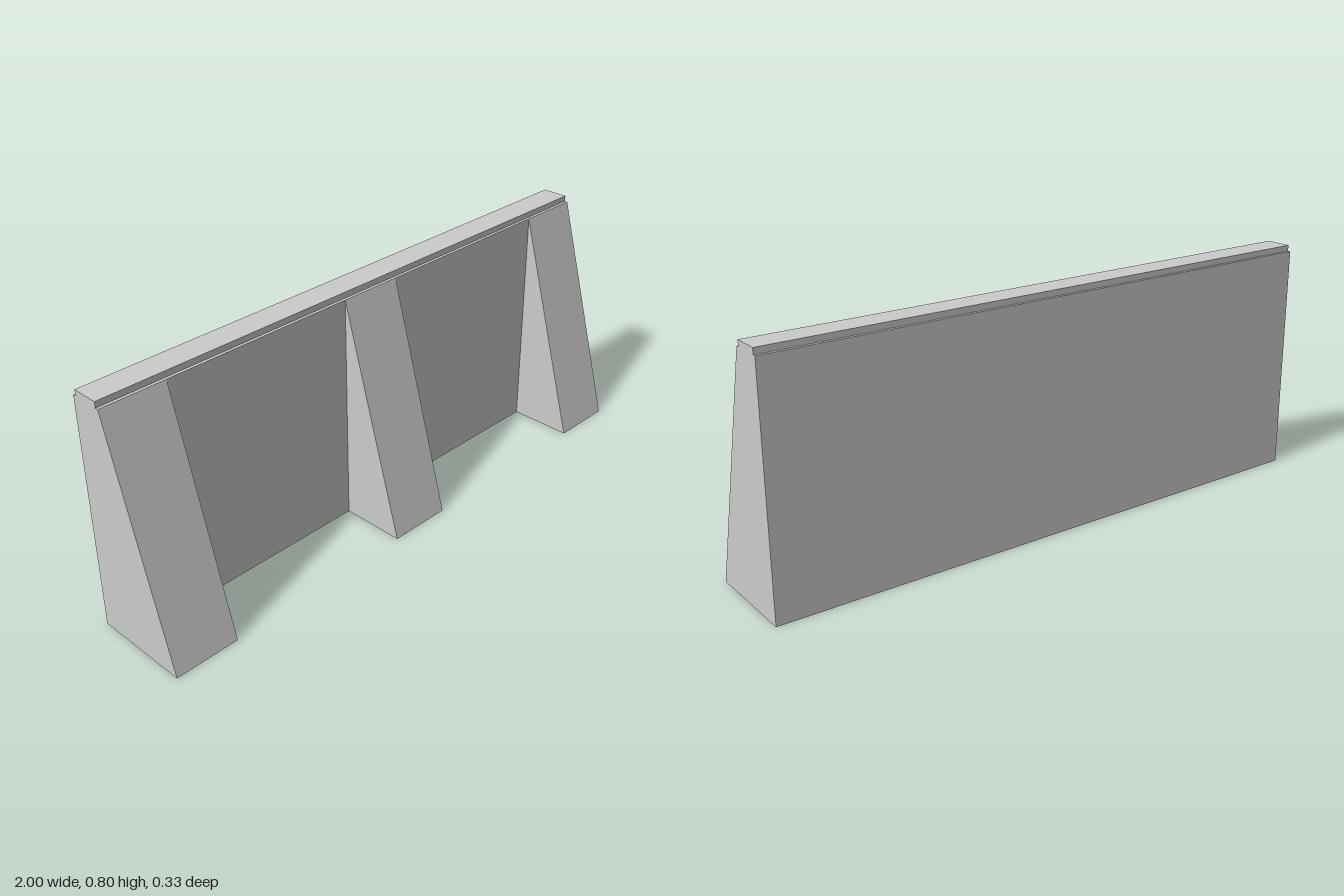
import * as THREE from 'three';

const LENGTH = 2, WALL_H = 0.78, TOP = 0.8;
const BACK = -0.166, FACE = -0.056, FOOT = 0.166;
const CAP_INSET = 0.01, BUTTRESS_W = 0.22;

export function createModel() {
  const group = new THREE.Group();
  group.name = 'buttressedWall';
  const material = new THREE.MeshStandardMaterial({ color: 0xcccccc, flatShading: true });

  function add(name, geometry, x, y, z) {
    const mesh = new THREE.Mesh(geometry, material);
    mesh.name = name;
    mesh.position.set(x, y, z);
    group.add(mesh);
  }

  // Straight wall and the narrower coping on top
  const depth = FACE - BACK, midZ = (FACE + BACK) / 2;
  add('wall', new THREE.BoxGeometry(LENGTH, WALL_H, depth), 0, WALL_H / 2, midZ);
  add('coping', new THREE.BoxGeometry(LENGTH, TOP - WALL_H, depth - 2 * CAP_INSET),
    0, (TOP + WALL_H) / 2, midZ);

  // Triangular side profile of a buttress, drawn with shape x = -z
  const profile = new THREE.Shape([
    new THREE.Vector2(-FOOT, 0),
    new THREE.Vector2(-FACE, 0),
    new THREE.Vector2(-FACE, WALL_H),
  ]);
  const buttress = new THREE.ExtrudeGeometry(profile, { depth: BUTTRESS_W, bevelEnabled: false });
  buttress.translate(0, 0, -BUTTRESS_W / 2);
  buttress.rotateY(Math.PI / 2);

  // Buttresses at both ends and in the middle
  const endX = (LENGTH - BUTTRESS_W) / 2;
  [['rightButtress', -endX], ['middleButtress', 0], ['leftButtress', endX]]
    .forEach(([name, x]) => add(name, buttress, x, 0, 0));

  return group;
}
